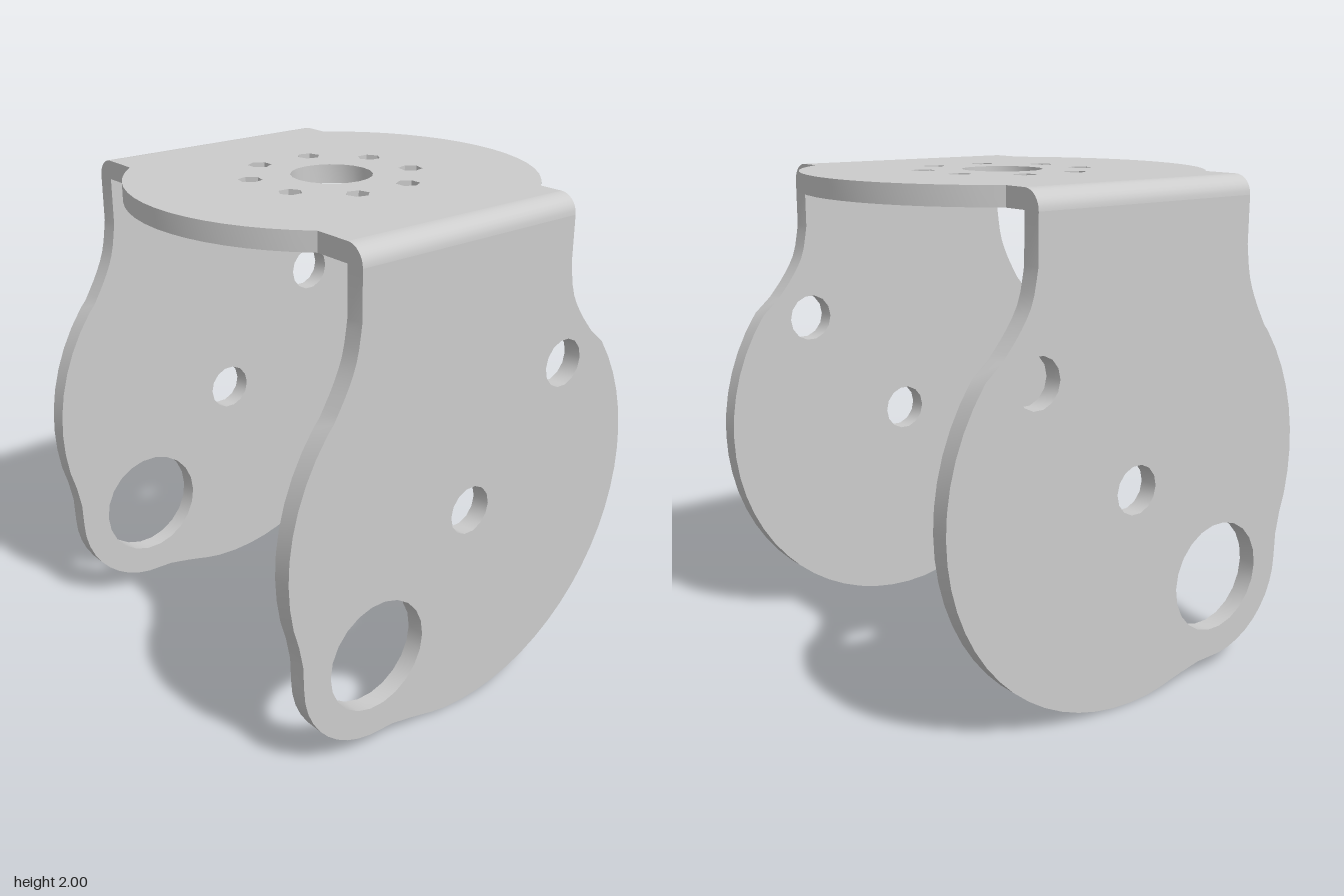
import * as THREE from 'three';
import { toCreasedNormals } from 'three/addons/utils/BufferGeometryUtils.js';

const T = 0.075;            // sheet thickness
const ZI = 0.74;            // inner face of the side plates
const XL = -0.545, XR = 0.48; // edges of the neck
const YI = 2 - T;           // underside of the top plate

const material = new THREE.MeshStandardMaterial({ color: 0xcccccc });
const V = (x, y) => new THREE.Vector2(x, y);

// Points along an arc, angles in degrees
function arc(cx, cy, r, from, to, n) {
  return Array.from({ length: n + 1 }, (_, i) => {
    const a = THREE.MathUtils.degToRad(from + (to - from) * i / n);
    return V(cx + r * Math.cos(a), cy + r * Math.sin(a));
  });
}

// Round hole as a polygon path
function hole(cx, cy, r, n, start = 0) {
  return new THREE.Path(arc(cx, cy, r, start, start + 360 * (n - 1) / n, n - 1));
}

function spline(points, n) {
  return new THREE.SplineCurve(points.map(([x, y]) => V(x, y))).getPoints(n);
}

function sheet(shape, depth) {
  const g = new THREE.ExtrudeGeometry(shape, { depth, bevelEnabled: false, curveSegments: 12 });
  return toCreasedNormals(g, 0.6);
}

function part(name, geometry) {
  const mesh = new THREE.Mesh(geometry, material);
  mesh.name = name;
  return mesh;
}

// Side plate: round body, neck at the top, lobe around the large hole
function sidePlateGeometry() {
  const shape = new THREE.Shape([
    V(XR, YI), V(XL, YI),
    ...spline([[XL, 1.74], [-0.565, 1.62], [-0.605, 1.52], [-0.665, 1.415]], 8),
    ...arc(0, 0.87, 0.862, 143, 192, 8),
    ...spline([[-0.82, 0.61], [-0.803, 0.52]], 2),
    ...arc(-0.45, 0.42, 0.35, 180, 264, 9),
    ...spline([[-0.37, 0.068], [-0.27, 0.048], [-0.16, 0.021]], 4),
    ...arc(0, 0.87, 0.866, 264, 396, 22),
    ...spline([[0.63, 1.44], [0.56, 1.525], [0.505, 1.62], [XR, 1.74]], 8),
  ]);
  shape.holes.push(
    hole(-0.453, 0.415, 0.225, 22),
    hole(0, 0.87, 0.097, 14),
    hole(0.475, 1.345, 0.097, 14),
  );
  return sheet(shape, T);
}

// Top plate: disc with two straight tabs reaching the bends
function topPlateGeometry() {
  const R = 0.8, deg = THREE.MathUtils.radToDeg;
  const aR = deg(Math.acos(XR / R)), aL = deg(Math.acos(XL / R));
  const shape = new THREE.Shape([
    ...arc(0, 0, R, -aR, aR, 16),
    V(XR, ZI), V(XL, ZI),
    ...arc(0, 0, R, aL, 360 - aL, 16),
    V(XL, -ZI), V(XR, -ZI),
  ]);
  shape.holes.push(hole(0, 0, 0.16, 20));
  // Ring of screw holes
  for (let i = 0; i < 8; i++) {
    const a = (i + 0.5) * Math.PI / 4;
    shape.holes.push(hole(0.323 * Math.cos(a), 0.323 * Math.sin(a), 0.047, 6, i * 45));
  }
  return sheet(shape, T).rotateX(-Math.PI / 2);
}

// Rounded fold: quarter disc drawn out along x
function bendGeometry() {
  const shape = new THREE.Shape([V(0, 0), ...arc(0, 0, T, 90, 180, 8)]);
  return sheet(shape, XR - XL).rotateY(Math.PI / 2);
}

export function createModel() {
  const model = new THREE.Group();
  model.name = 'bracket';

  const top = part('topPlate', topPlateGeometry());
  top.position.y = YI;
  model.add(top);

  const plate = sidePlateGeometry();
  const front = part('frontPlate', plate);
  front.position.z = ZI;
  const back = part('backPlate', plate);
  back.position.z = -ZI - T;
  model.add(front, back);

  const bend = bendGeometry();
  const frontBend = part('frontBend', bend);
  frontBend.position.set(XL, YI, ZI);
  const backBend = part('backBend', bend);
  backBend.rotation.y = Math.PI;
  backBend.position.set(XR, YI, -ZI);
  model.add(frontBend, backBend);

  return model;
}
